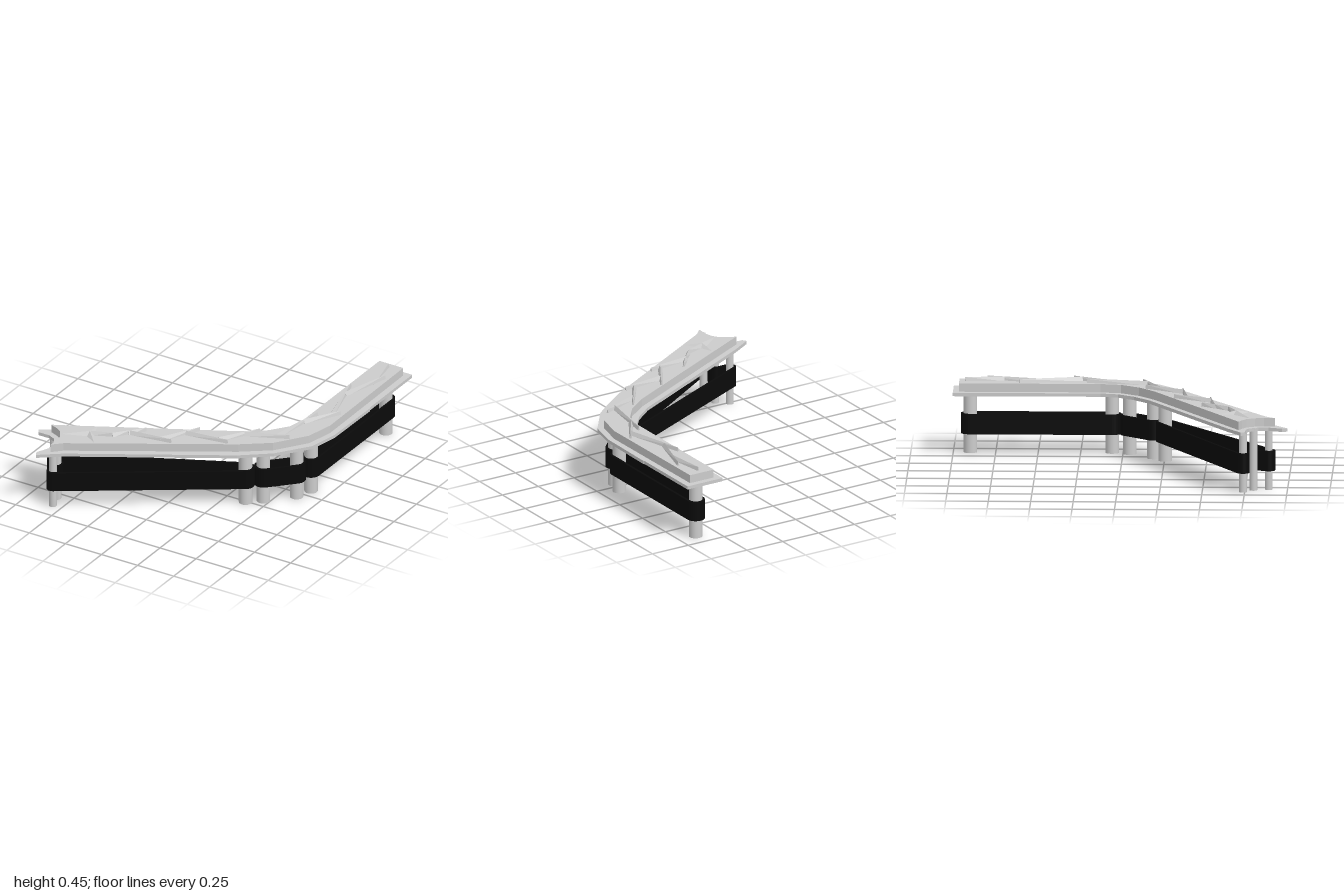
import * as THREE from 'three';
import { ConvexGeometry } from 'three/addons/geometries/ConvexGeometry.js';

const grey = new THREE.MeshStandardMaterial({ color: 0xcccccc, flatShading: true, side: THREE.DoubleSide });
const smooth = new THREE.MeshStandardMaterial({ color: 0xcccccc });
const black = new THREE.MeshStandardMaterial({ color: 0x0a0a0a });

const RIM_Y = 0.355, LEDGE_Y = 0.375, TOP_Y = 0.425, RIDGE_Y = 0.448;

// Plan points are [x, z]; shapes are drawn in (x, -z) and laid flat.
const toShape = pts => pts.map(([x, z]) => new THREE.Vector2(x, -z));

function slab(outer, hole, y, height) {
  const shape = new THREE.Shape(outer);
  if (hole) shape.holes.push(new THREE.Path(hole));
  const g = new THREE.ExtrudeGeometry(shape, { depth: height, bevelEnabled: false });
  return g.rotateX(-Math.PI / 2).translate(0, y, 0);
}

// Closed loop tangent to a ring of circles [x, z, signedRadius];
// a negative radius makes the loop bend inwards round that circle.
function tangentLoop(circles) {
  const n = circles.length;
  const angles = circles.map(([x, z, r], i) => {
    const [x2, z2, r2] = circles[(i + 1) % n];
    const dx = x2 - x, dy = z - z2;
    return Math.atan2(dy, dx) - Math.acos((r - r2) / Math.hypot(dx, dy));
  });
  const pts = [];
  circles.forEach(([x, z, r], i) => {
    const from = angles[(i + n - 1) % n];
    const full = Math.PI * 2;
    let sweep = (((angles[i] - from) % full) + full) % full;
    if (r < 0) sweep -= full;
    const steps = 14;
    for (let k = 0; k <= steps; k++) {
      const a = from + sweep * k / steps;
      pts.push(new THREE.Vector2(x + r * Math.cos(a), -z + r * Math.sin(a)));
    }
  });
  return pts;
}

// Tapered ridge between two plan points, with sharp crest heights h0 and h1
function ridge([x0, z0], [x1, z1], w0, w1, h0 = RIDGE_Y, h1 = RIDGE_Y) {
  const len = Math.hypot(x1 - x0, z1 - z0);
  const nx = -(z1 - z0) / len, nz = (x1 - x0) / len;
  const pts = [];
  for (const [x, z, w, h] of [[x0, z0, w0, h0], [x1, z1, w1, h1]]) {
    pts.push(new THREE.Vector3(x + nx * w / 2, TOP_Y - 0.003, z + nz * w / 2));
    pts.push(new THREE.Vector3(x - nx * w / 2, TOP_Y - 0.003, z - nz * w / 2));
    pts.push(new THREE.Vector3(x, h, z));
  }
  return new ConvexGeometry(pts);
}

export function createModel() {
  const model = new THREE.Group();
  const add = (name, geometry, material) => {
    const mesh = new THREE.Mesh(geometry, material);
    mesh.name = name;
    model.add(mesh);
    return mesh;
  };

  // Bent outline of the rim and of the raised deck inside it
  const rim = toShape([
    [0.51, -1], [0.755, -1], [0.755, -0.53], [0.76, -0.52], [0.755, -0.13], [0.715, 0.05],
    [0.57, 0.245], [0.4, 0.38], [-0.48, 0.9], [-0.61, 1], [-0.625, 0.97], [-0.59, 0.89],
    [-0.592, 0.83], [-0.625, 0.775], [-0.67, 0.755], [-0.745, 0.755], [-0.76, 0.73],
    [-0.63, 0.65], [0.29, 0.165], [0.41, 0.07], [0.487, -0.025], [0.515, -0.13]]);
  const deck = toShape([
    [0.55, -0.965], [0.715, -0.965], [0.72, -0.14], [0.68, 0.03], [0.547, 0.215], [0.38, 0.34],
    [-0.5, 0.87], [-0.555, 0.925], [-0.55, 0.86], [-0.56, 0.81], [-0.59, 0.76],
    [-0.63, 0.735], [-0.68, 0.715], [-0.61, 0.68], [0.31, 0.195], [0.44, 0.1],
    [0.525, -0.01], [0.55, -0.13]]);
  add('rim', slab(rim, deck, RIM_Y, LEDGE_Y - RIM_Y), grey);

  // Hollow deck: top sheet and upright walls, open underneath
  const top = new THREE.ShapeGeometry(new THREE.Shape(deck));
  add('deckTop', top.rotateX(-Math.PI / 2).translate(0, TOP_Y, 0), grey);
  const walls = [], index = [];
  deck.forEach((p, i) => {
    walls.push(p.x, LEDGE_Y, -p.y, p.x, TOP_Y, -p.y);
    const a = 2 * i, b = 2 * ((i + 1) % deck.length);
    index.push(a, b, b + 1, a, b + 1, a + 1);
  });
  const wallGeometry = new THREE.BufferGeometry();
  wallGeometry.setAttribute('position', new THREE.Float32BufferAttribute(walls, 3));
  wallGeometry.setIndex(index);
  wallGeometry.computeVertexNormals();
  add('deckWalls', wallGeometry, grey);

  // Branching ridges running along the deck
  const branches = [
    [-0.42, 0.69, -0.3, 0.645], [-0.3, 0.645, -0.23, 0.565], [-0.235, 0.575, -0.165, 0.485],
    [-0.23, 0.565, 0.035, 0.53], [-0.035, 0.54, 0.1, 0.315], [0.055, 0.395, 0.32, 0.36],
    [0.26, 0.36, 0.41, 0.14], [0.355, 0.225, 0.6, 0.12], [0.53, 0.15, 0.59, -0.21],
    [0.57, -0.09, 0.7, -0.29], [0.665, -0.24, 0.572, -0.61], [0.6, -0.5, 0.692, -0.8],
    [0.66, -0.7, 0.635, -0.93]];
  for (const [x0, z0, x1, z1] of branches)
    add('branchRidge', ridge([x0, z0], [x1, z1], 0.03, 0.014), grey);

  // Pointed star where the ridges begin
  for (const tip of [[-0.57, 0.78], [-0.435, 0.6], [-0.35, 0.77]])
    add('starArm', ridge([-0.425, 0.695], tip, 0.06, 0.002, RIDGE_Y, TOP_Y), grey);

  // Rollers: [x, z, radius]
  const endRoller = [0.635, -0.9, 0.04];
  const bendRollers = [[0.635, -0.065, 0.04], [0.6, 0.04, 0.04], [0.46, 0.185, 0.04], [0.38, 0.255, 0.04]];
  const tipRollers = [[-0.648, 0.74, 0.023], [-0.585, 0.8, 0.023], [-0.56, 0.89, 0.023]];
  for (const [x, z, r] of [endRoller, ...bendRollers, ...tipRollers]) {
    const h = r < 0.03 ? 0.37 : 0.42;
    add('roller', new THREE.CylinderGeometry(r, r, h, 24).translate(x, h / 2, z), smooth);
  }

  // Belts round the rollers; the middle tip roller presses its belt inwards
  const t = 0.015;
  const [tipA, tipB, tipC] = tipRollers;
  const belts = {
    straightBelt: [endRoller, bendRollers[0]],
    bendBelt: [bendRollers[1], bendRollers[2]],
    longBelt: [bendRollers[3], tipA, [tipB[0], tipB[1], -tipB[2] - t], tipC],
  };
  for (const [name, circles] of Object.entries(belts)) {
    const outer = tangentLoop(circles.map(([x, z, r]) => [x, z, r + t]));
    add(name, slab(outer, tangentLoop(circles), 0.115, 0.12), black);
  }
  return model;
}
